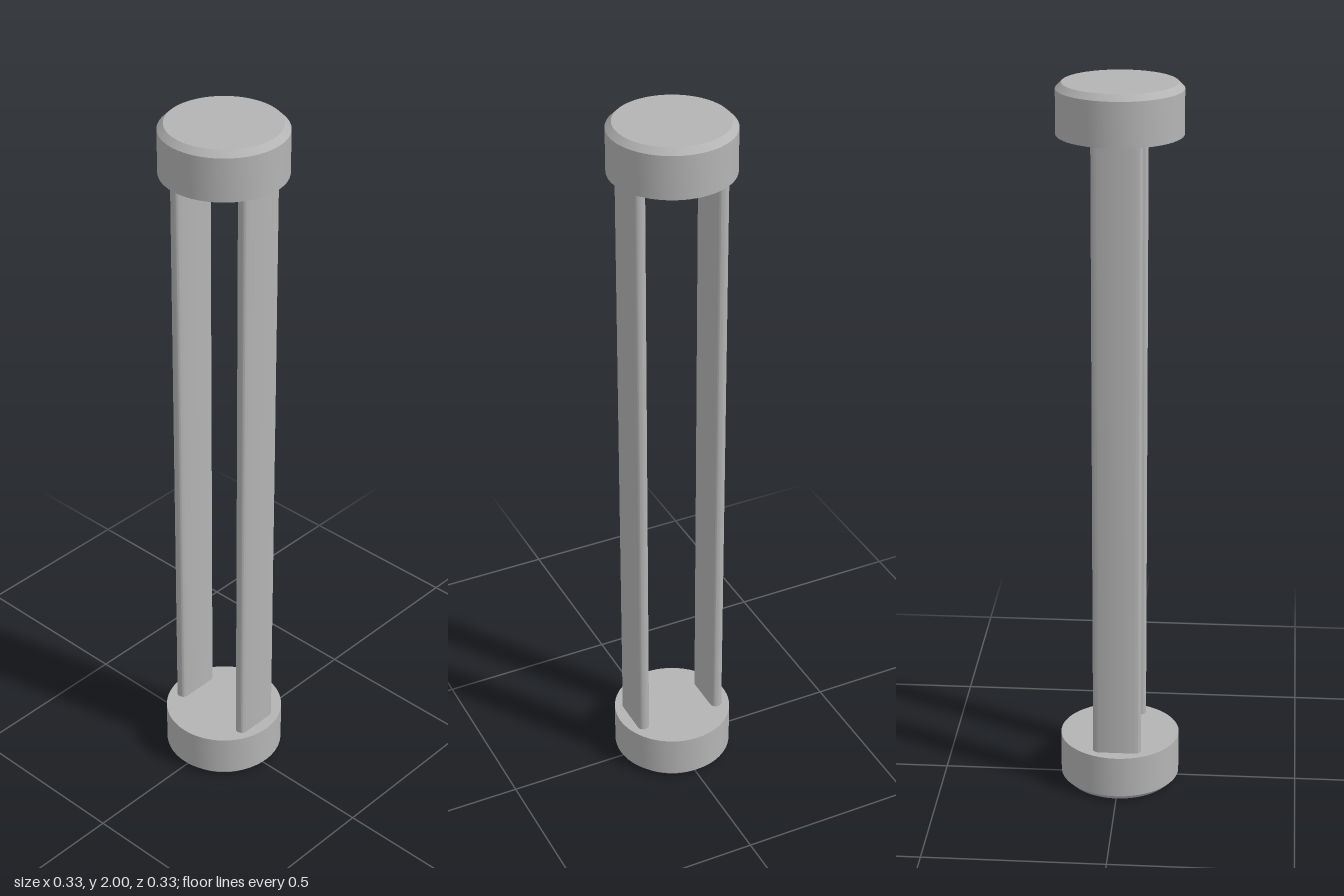
import * as THREE from 'three';
import { toCreasedNormals } from 'three/addons/utils/BufferGeometryUtils.js';

const R = 0.167, CAP = 0.135, BEVEL = 0.016;      // end caps
const BAR_X = 0.117, BAR_T = 0.034, BAR_W = 0.134; // side bars

// Disc with a bevelled outer rim, its bevel at the bottom
function capGeometry() {
  const profile = [[0, 0], [R - BEVEL, 0], [R, BEVEL], [R, CAP], [0, CAP]]
    .map(([x, y]) => new THREE.Vector2(x, y));
  return toCreasedNormals(new THREE.LatheGeometry(profile, 72), 0.4);
}

// Upright flat bar with fully rounded narrow edges
function barGeometry() {
  const r = BAR_T / 2, h = BAR_W / 2 - r;
  const section = new THREE.Shape();
  section.absarc(0, h, r, 0, Math.PI);
  section.absarc(0, -h, r, Math.PI, Math.PI * 2);
  section.closePath();
  const geometry = new THREE.ExtrudeGeometry(section, {
    depth: 2 - 2 * CAP, bevelEnabled: false, curveSegments: 16,
  });
  geometry.rotateX(-Math.PI / 2);
  return toCreasedNormals(geometry, 0.4);
}

export function createModel() {
  const model = new THREE.Group();
  model.name = 'twinBarSpacer';
  const metal = new THREE.MeshStandardMaterial({ color: 0xb4b4b4 });
  metal.name = 'grey metal';

  const add = (name, geometry) => {
    const mesh = new THREE.Mesh(geometry, metal);
    mesh.name = name;
    model.add(mesh);
    return mesh;
  };

  // End caps, the upper one turned over
  const cap = capGeometry();
  add('bottomCap', cap);
  const topCap = add('topCap', cap);
  topCap.rotation.x = Math.PI;
  topCap.position.y = 2;

  // Pair of bars joining the caps
  const bar = barGeometry();
  for (const [name, side] of [['leftBar', 1], ['rightBar', -1]]) {
    add(name, bar).position.set(side * BAR_X, CAP, 0);
  }
  return model;
}
